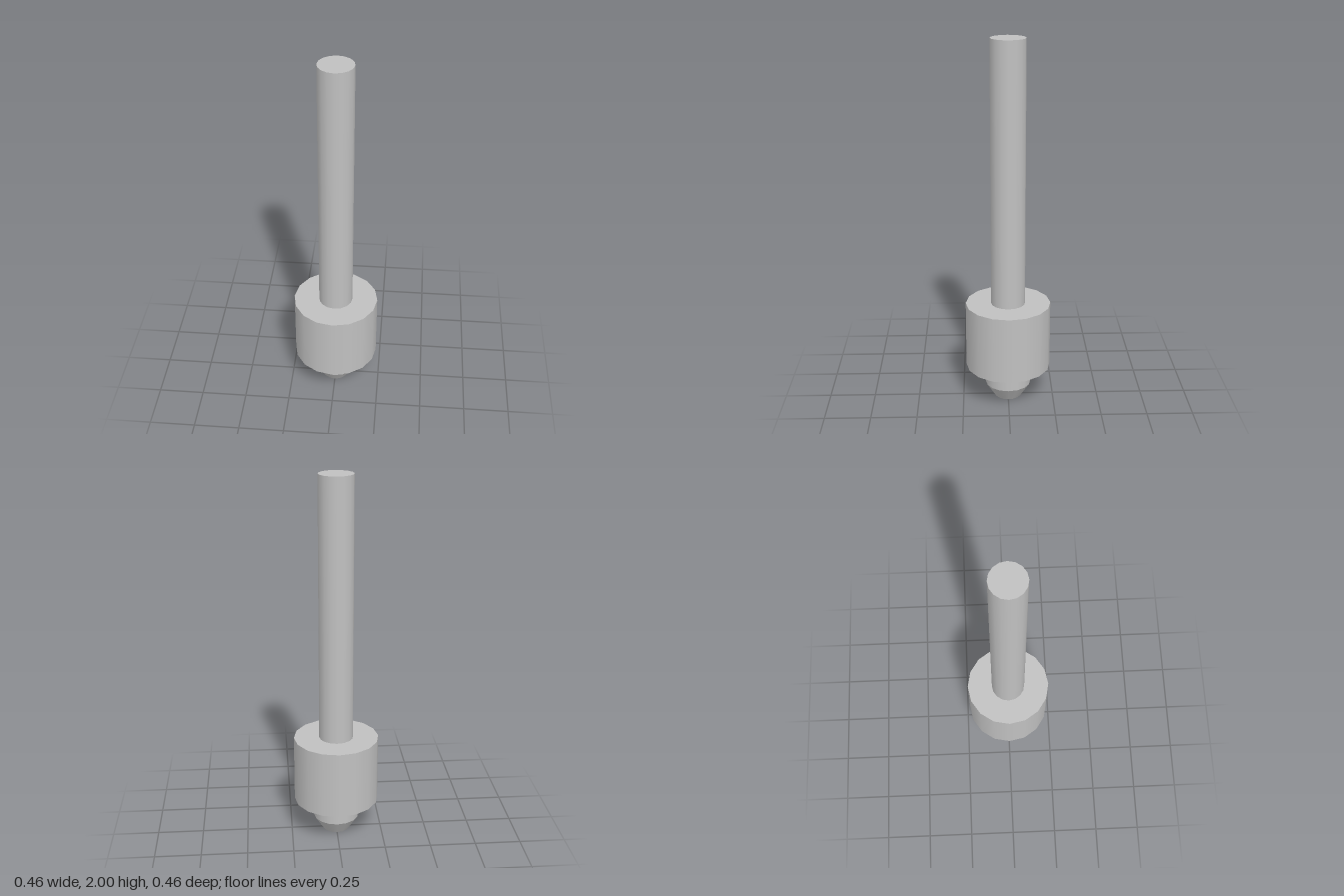
import * as THREE from 'three';

const SIDES = 16;

export function createModel() {
  const model = new THREE.Group();
  model.name = 'spindle';

  const steel = new THREE.MeshStandardMaterial({ color: 0xc0c0c0 });
  steel.name = 'light grey steel';

  // One turned section standing between two heights
  const addSection = (name, bottomRadius, topRadius, y0, y1) => {
    const geometry = new THREE.CylinderGeometry(topRadius, bottomRadius, y1 - y0, SIDES);
    const mesh = new THREE.Mesh(geometry, steel);
    mesh.name = name;
    mesh.position.y = (y0 + y1) / 2;
    model.add(mesh);
  };

  addSection('taperedTip', 0.073, 0.125, 0, 0.08);
  addSection('neck', 0.125, 0.125, 0.08, 0.19);
  addSection('collar', 0.232, 0.232, 0.19, 0.56);
  addSection('shaft', 0.093, 0.093, 0.56, 2);

  return model;
}
